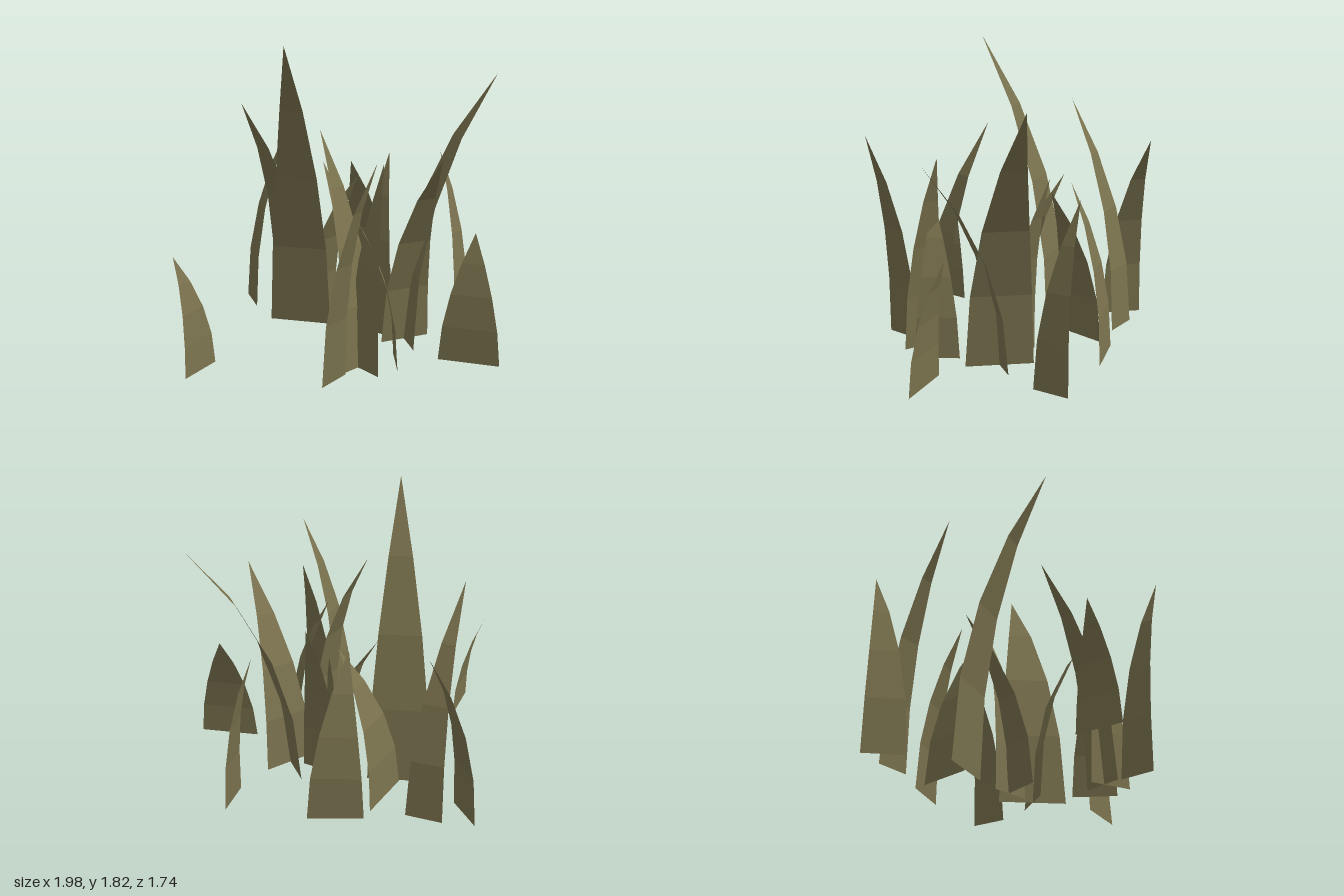
import * as THREE from 'three';

// Each blade: [base corner x, z], [other base corner x, z], [tip x, y, z]
const BLADES = [
  [[-0.32, -0.38], [0.02, -0.20], [-0.33, 1.82, 0.15]],
  [[-0.22, -0.77], [-0.05, -0.62], [-0.48, 1.39, -0.43]],
  [[-0.385, -0.87], [-0.37, -0.62], [-0.07, 1.20, -0.84]],
  [[0.19, -0.56], [0.50, -0.43], [0.18, 1.02, -0.31]],
  [[-0.15, -0.30], [0.13, -0.51], [0.20, 0.97, -0.19]],
  [[-0.08, 0.57], [0.14, 0.43], [-0.12, 1.33, 0.14]],
  [[-0.25, 0.74], [-0.08, 0.59], [0.02, 1.30, 0.87]],
  [[0.25, 0.17], [0.56, 0.11], [0.48, 1.22, 0.58]],
  [[-0.02, 0.43], [0.09, 0.67], [0.17, 1.19, 0.47]],
  [[0.50, 0.50], [0.81, 0.69], [0.72, 0.75, 0.48]],
  [[0.27, 0.36], [0.22, 0.62], [0.00, 0.90, 0.48]],
  [[0.92, -0.17], [0.77, 0.00], [0.74, 1.07, -0.26]],
  [[0.02, 0.10], [0.24, -0.02], [0.00, 1.03, -0.30]],
  [[0.16, -0.10], [0.33, 0.09], [0.38, 1.10, -0.15]],
  [[0.40, -0.06], [0.40, 0.34], [0.98, 1.60, 0.07]],
  [[-0.77, 0.23], [-0.97, 0.44], [-1.00, 0.67, 0.27]],
];
const SEGMENTS = 4;

// A single curved sheet: straight at the foot, bending and narrowing to a point
function bladeGeometry([a, b], tip) {
  const midX = (a[0] + b[0]) / 2, midZ = (a[1] + b[1]) / 2;
  const halfX = (b[0] - a[0]) / 2, halfZ = (b[1] - a[1]) / 2;
  const positions = [], index = [];
  for (let i = 0; i <= SEGMENTS; i++) {
    const t = i / SEGMENTS;
    const bend = t * t;
    const width = 1 - Math.pow(t, 1.6);
    const x = midX + (tip[0] - midX) * bend;
    const y = tip[1] * (t + 0.12 * t * (1 - t));
    const z = midZ + (tip[2] - midZ) * bend;
    if (i === SEGMENTS) {
      positions.push(x, y, z);
    } else {
      positions.push(x - halfX * width, y, z - halfZ * width);
      positions.push(x + halfX * width, y, z + halfZ * width);
    }
  }
  for (let i = 0; i < SEGMENTS; i++) {
    const k = i * 2;
    index.push(k, k + 1, k + 2);
    if (i < SEGMENTS - 1) index.push(k + 1, k + 3, k + 2);
  }
  const geometry = new THREE.BufferGeometry();
  geometry.setAttribute('position', new THREE.Float32BufferAttribute(positions, 3));
  geometry.setIndex(index);
  geometry.computeVertexNormals();
  return geometry;
}

export function createModel() {
  const group = new THREE.Group();
  group.name = 'grassTuft';
  const material = new THREE.MeshStandardMaterial({
    color: 0x7a724e, flatShading: true, side: THREE.DoubleSide,
  });
  material.name = 'dryOlive';

  BLADES.forEach(([a, b, tip], i) => {
    const blade = new THREE.Mesh(bladeGeometry([a, b], tip), material);
    blade.name = `grassBlade${i + 1}`;
    group.add(blade);
  });
  return group;
}
